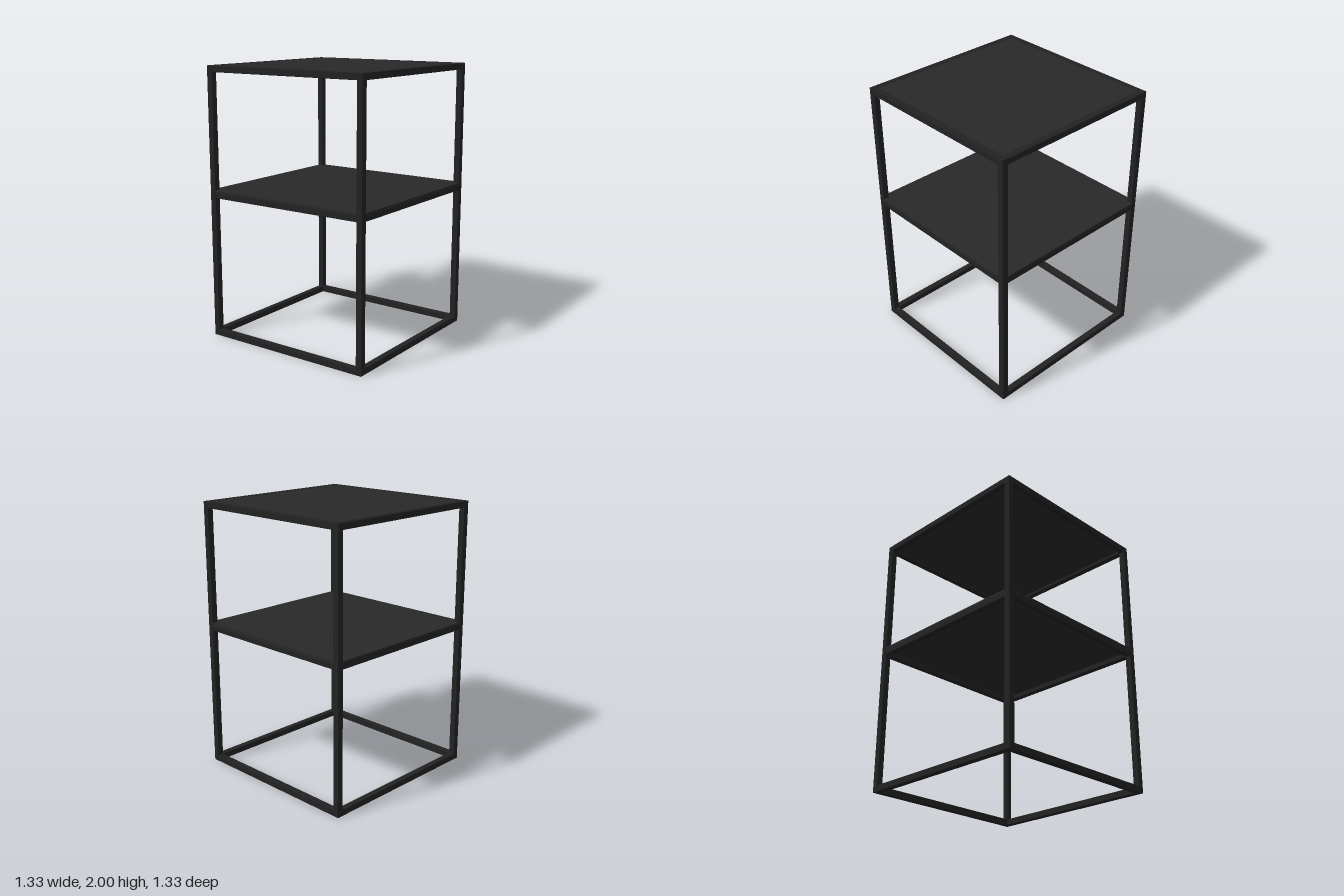
import * as THREE from 'three';
import { RoundedBoxGeometry } from 'three/addons/geometries/RoundedBoxGeometry.js';

const HALF = 0.665;   // half of the outer width and depth
const HEIGHT = 2;
const BAR = 0.046;    // square tube thickness
const BEVEL = 0.004;

export function createModel() {
  const model = new THREE.Group();
  model.name = 'sideTable';
  const metal = new THREE.MeshStandardMaterial({ color: 0x222222 });
  const board = new THREE.MeshStandardMaterial({ color: 0x282828 });

  const addBox = (name, material, size, position) => {
    const mesh = new THREE.Mesh(new RoundedBoxGeometry(...size, 2, BEVEL), material);
    mesh.name = name;
    mesh.position.set(...position);
    model.add(mesh);
  };

  const inner = HALF - BAR;          // inside face of the frame
  const axis = HALF - BAR / 2;       // centre line of the tubes
  const span = 2 * inner + 2 * BEVEL;

  // Corner posts
  for (const x of [-1, 1]) {
    for (const z of [-1, 1]) {
      addBox('post', metal, [BAR, HEIGHT, BAR], [x * axis, HEIGHT / 2, z * axis]);
    }
  }

  // Rails around the base, the middle shelf and the top
  const levels = [['baseRail', BAR / 2], ['shelfRail', 1.05 + BAR / 2], ['topRail', HEIGHT - BAR / 2]];
  for (const [name, y] of levels) {
    for (const s of [-1, 1]) {
      addBox(name, metal, [span, BAR, BAR], [0, y, s * axis]);
      addBox(name, metal, [BAR, BAR, span], [s * axis, y, 0]);
    }
  }

  // Top panel set into the frame
  addBox('topPanel', board, [span, 0.02, span], [0, HEIGHT - 0.012, 0]);

  // Shelf board lying on the rails, notched around the posts
  const outline = new THREE.Shape();
  const corners = [[1, 1], [-1, 1], [-1, -1], [1, -1]];
  corners.forEach(([x, z], i) => {
    const notch = [[x * HALF, z * inner], [x * inner, z * inner], [x * inner, z * HALF]];
    if (i % 2) notch.reverse();
    notch.forEach(([px, pz], j) => (i + j ? outline.lineTo(px, pz) : outline.moveTo(px, pz)));
  });
  outline.closePath();
  const shelfGeometry = new THREE.ExtrudeGeometry(outline, { depth: 0.022, bevelEnabled: false });
  shelfGeometry.rotateX(-Math.PI / 2);
  const shelf = new THREE.Mesh(shelfGeometry, board);
  shelf.name = 'shelfBoard';
  shelf.position.y = 1.085;
  model.add(shelf);

  return model;
}
